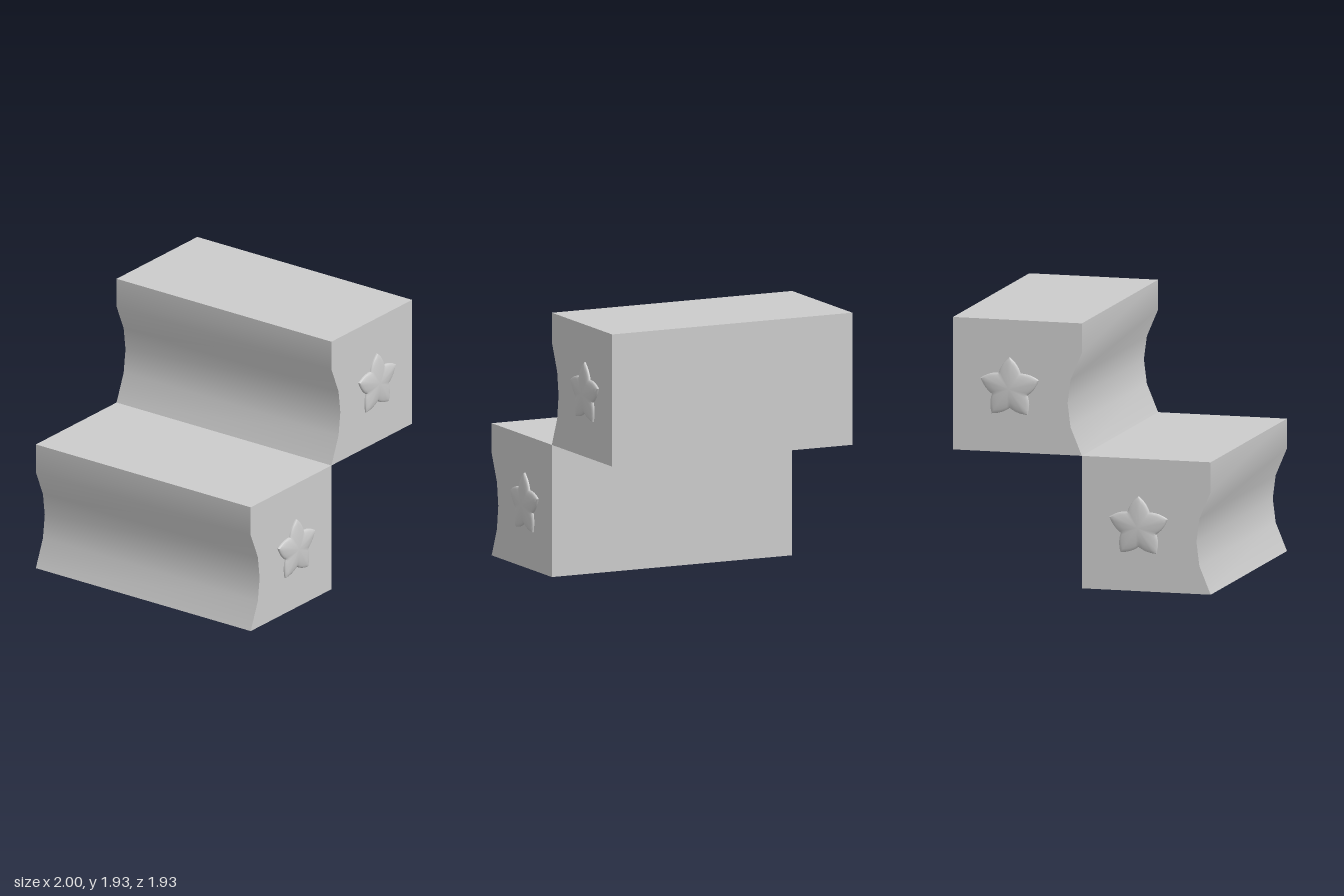
import * as THREE from 'three';
import { toCreasedNormals } from 'three/addons/utils/BufferGeometryUtils.js';

const HALF = 0.967; // half width, also the size of one step

// Step block: side profile with a hollowed front, extruded across the width
function stepGeometry() {
  const profile = [[0, 0], [0, HALF], [HALF, HALF], [HALF, 0.75], [0.882, 0.55], [0.86, 0.38], [0.882, 0.205], [HALF, 0]];
  const shape = new THREE.Shape(profile.map(([z, y]) => new THREE.Vector2(-z, y)));
  const g = new THREE.ExtrudeGeometry(shape, { depth: 2 * HALF, bevelEnabled: false });
  g.translate(0, 0, -HALF).rotateY(Math.PI / 2);
  return toCreasedNormals(g, 0.6);
}

// Star outline: five pointed petals with bulging edges
function starOutline() {
  const points = [];
  const polar = (r, a) => new THREE.Vector2(r * Math.cos(a), r * Math.sin(a));
  const N = 6;
  for (let k = 0; k < 5; k++) {
    const a = Math.PI / 2 + k * Math.PI * 0.4;
    const tip = polar(0.23, a);
    const before = polar(0.14, a - Math.PI / 5), after = polar(0.14, a + Math.PI / 5);
    const up = new THREE.QuadraticBezierCurve(before, polar(0.19, a - 0.34), tip);
    const down = new THREE.QuadraticBezierCurve(tip, polar(0.19, a + 0.34), after);
    points.push(...up.getPoints(N).slice(0, N), ...down.getPoints(N).slice(0, N));
  }
  return points;
}

// Pillow-shaped star: the outline shrinks ring by ring towards a domed centre
function starGeometry() {
  const rings = [[1, -0.01], [1, 0.006], [0.985, 0.012], [0.95, 0.016], [0.85, 0.021], [0.65, 0.027], [0.35, 0.032], [0, 0.033]];
  const outline = starOutline(), n = outline.length;
  const position = [], index = [];
  rings.forEach(([s, z], i) => {
    outline.forEach((p, j) => {
      position.push(p.x * s, p.y * s, z);
      if (i === rings.length - 1) return;
      const a = i * n + j, b = i * n + (j + 1) % n;
      index.push(a, b, a + n);
      if (i < rings.length - 2) index.push(b, b + n, a + n);
    });
  });
  const g = new THREE.BufferGeometry();
  g.setAttribute('position', new THREE.Float32BufferAttribute(position, 3));
  g.setIndex(index);
  return toCreasedNormals(g, 0.7);
}

export function createModel() {
  const model = new THREE.Group();
  model.name = 'steps';
  const material = new THREE.MeshStandardMaterial({ color: 0xcccccc });
  const blockGeo = stepGeometry(), starGeo = starGeometry();

  ['lowerStep', 'upperStep'].forEach((name, i) => {
    const step = new THREE.Group();
    step.name = name;
    step.position.set(0, i * HALF, -i * HALF);
    const block = new THREE.Mesh(blockGeo, material);
    block.name = 'stepBlock';
    step.add(block);
    // One raised star on each end
    for (const side of [1, -1]) {
      const star = new THREE.Mesh(starGeo, material);
      star.name = side > 0 ? 'leftStar' : 'rightStar';
      star.position.set(side * HALF, 0.465, 0.427);
      star.rotation.y = side * Math.PI / 2;
      step.add(star);
    }
    model.add(step);
  });
  return model;
}
